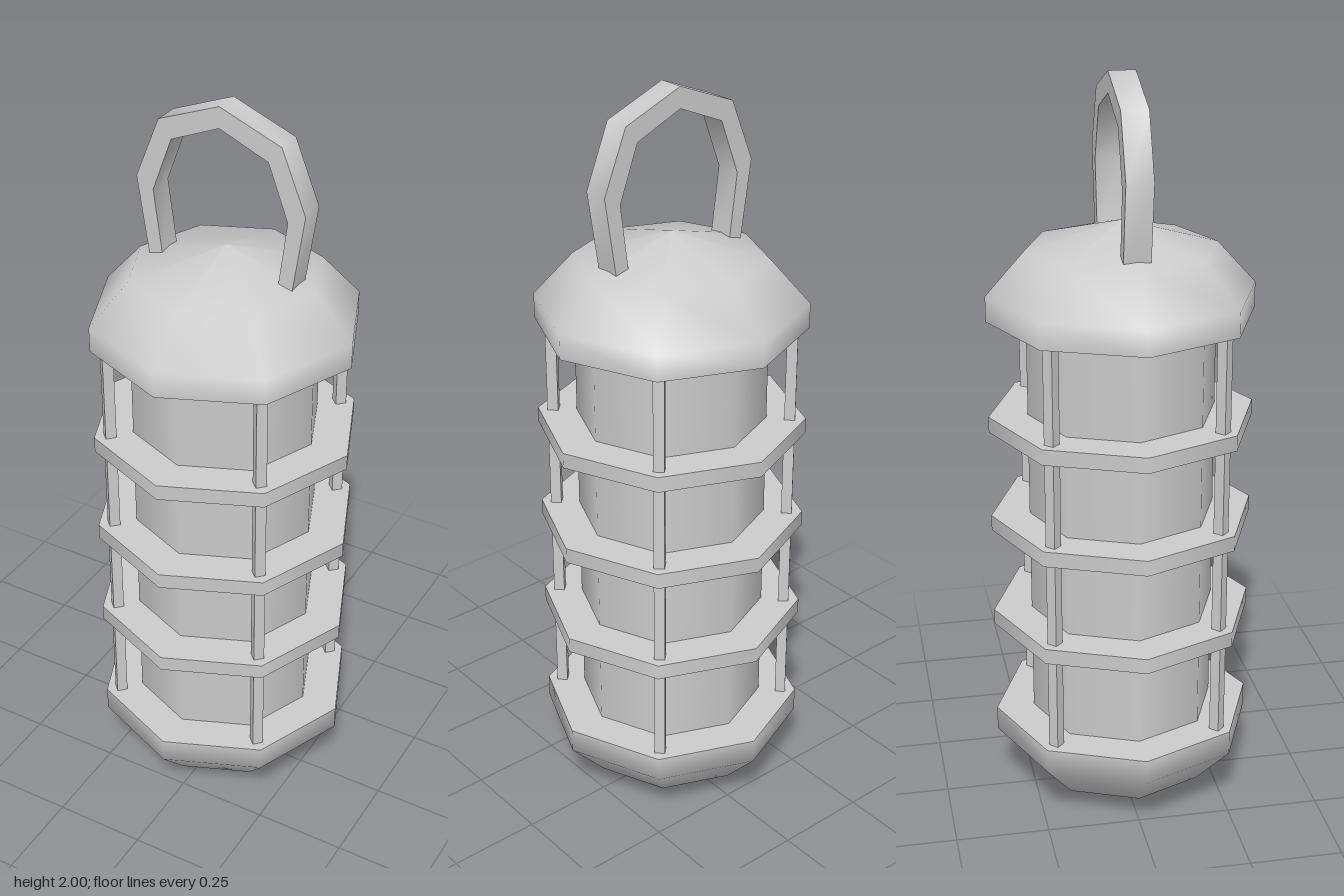
import * as THREE from 'three';
import { toCreasedNormals } from 'three/addons/utils/BufferGeometryUtils.js';

const SIDES = 8;
const RADIUS = 0.353;
const CAP_LOW = 0.253;  // rim height of the lower cap
const CAP_HIGH = 1.377; // rim height of the upper cap

export function createModel() {
  const model = new THREE.Group();
  model.name = 'lantern';
  const material = new THREE.MeshStandardMaterial({ color: 0xcccccc });

  const add = (name, geometry, parent = model) => {
    const mesh = new THREE.Mesh(geometry, material);
    mesh.name = name;
    parent.add(mesh);
    return mesh;
  };

  // Domed caps: a smooth octagonal dome closed by a flat plate
  const profile = [[RADIUS, 0], [RADIUS, 0.067], [0.25, 0.181], [0, 0.25]]
    .map(([x, y]) => new THREE.Vector2(x, y));
  const dome = new THREE.LatheGeometry(profile, SIDES);
  const plate = new THREE.CircleGeometry(RADIUS, SIDES).rotateX(Math.PI / 2);
  const addCap = (name, y, flipped) => {
    const cap = new THREE.Group();
    cap.name = name;
    add(name + 'Dome', dome, cap);
    add(name + 'Plate', plate, cap);
    cap.position.y = y;
    if (flipped) cap.rotation.x = Math.PI;
    model.add(cap);
  };
  addCap('topCap', CAP_HIGH, false);
  addCap('bottomCap', CAP_LOW, true);

  // Inner body between the caps
  const height = CAP_HIGH - CAP_LOW;
  const middle = (CAP_HIGH + CAP_LOW) / 2;
  add('innerBody', new THREE.CylinderGeometry(0.25, 0.25, height, SIDES, 1, true))
    .position.y = middle;

  // Octagonal guard rings
  const ring = new THREE.CylinderGeometry(RADIUS, RADIUS, 0.042, SIDES);
  for (const y of [0.537, 0.817, 1.097]) add('guardRing', ring).position.y = y;

  // Square rods on the four diagonals
  const rod = toCreasedNormals(new THREE.CylinderGeometry(0.02, 0.02, height, 4, 1, true), 0.5);
  for (const x of [-0.22, 0.22]) {
    for (const z of [-0.22, 0.22]) add('guardRod', rod).position.set(x, middle, z);
  }

  // Carrying handle: a faceted loop, mirrored left to right
  const outer = [[0.2, 1.555], [0.233, 1.772], [0.167, 1.934]];
  const inner = [[0.161, 1.555], [0.186, 1.745], [0.132, 1.889]];
  const mirror = (points) => points.map(([x, y]) => [-x, y]);
  const outline = [
    ...outer, [0, 2], ...mirror(outer).reverse(),
    ...mirror(inner), [0, 1.945], ...inner.slice().reverse(),
  ].map(([x, y]) => new THREE.Vector2(x, y));
  const handle = new THREE.ExtrudeGeometry(new THREE.Shape(outline), { depth: 0.07, bevelEnabled: false });
  handle.translate(0, 0, -0.035);
  add('handle', toCreasedNormals(handle, Math.PI / 3));

  return model;
}
